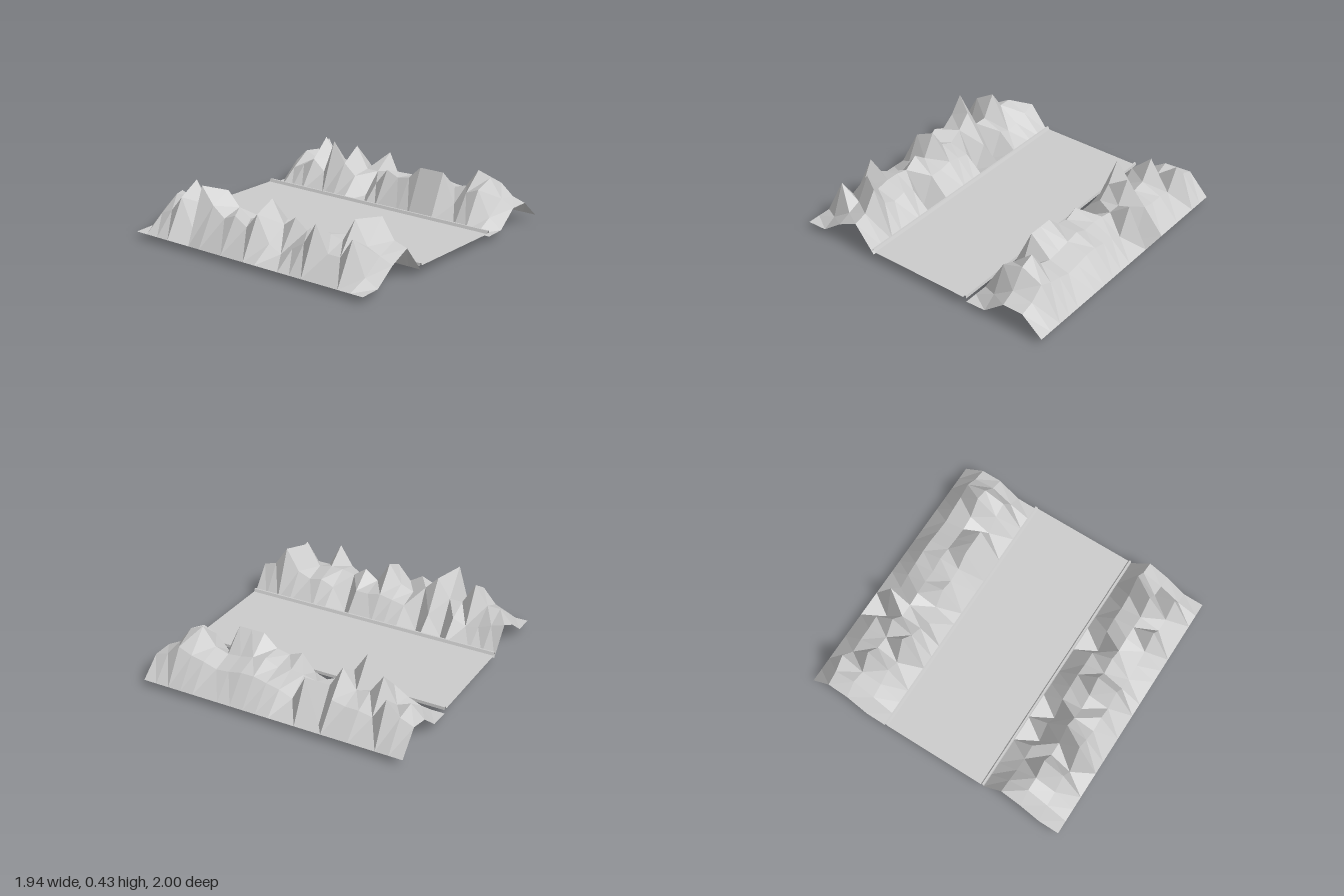
import * as THREE from 'three';

const HALF = 0.97, BASE = 0.045, COLS = 20, ROWS = 4, CELL = 0.15;

const rock = () => new THREE.MeshStandardMaterial({
  color: 0xcccccc, flatShading: true, side: THREE.DoubleSide,
});

// Peak heights (hundredths) along x for the three inner rows, from back to front
const FRONT = [
  [23, 20, 16, 14, 18, 0, 16, 0, 18, 20, 22, 20, 20, 0, 18, 22, 20, 24, 40, 26, 23],
  [16, 26, 26, 40, 24, 24, 38, 28, 22, 26, 40, 24, 31, 24, 26, 26, 24, 40, 24, 20, 16],
  [5, 16, 20, 31, 10, 43, 31, 24, 28, 22, 33, 15, 10, 16, 22, 37, 19, 19, 33, 10, 5],
];
const BACK = [
  [20, 24, 34, 18, 20, 20, 22, 0, 33, 14, 18, 20, 22, 22, 20, 19, 22, 24, 28, 20, 17],
  [17, 26, 22, 40, 26, 24, 38, 22, 22, 24, 25, 24, 28, 26, 24, 23, 26, 39, 35, 22, 17],
  [5, 16, 20, 26, 18, 43, 28, 20, 7, 18, 30, 26, 28, 37, 37, 37, 16, 26, 30, 12, 5],
];

// Faceted height field; each cell is split along its shorter diagonal
function ridge(name, rows, zStart) {
  const positions = [], index = [];
  const stride = COLS + 1;
  for (let j = 0; j <= ROWS; j++) {
    for (let i = 0; i <= COLS; i++) {
      const inner = j > 0 && j < ROWS;
      const y = inner ? rows[j - 1][i] / 100 : BASE;
      positions.push(-HALF + (2 * HALF * i) / COLS, y, zStart + j * CELL);
    }
  }
  const rise = (p, q) => Math.abs(positions[p * 3 + 1] - positions[q * 3 + 1]);
  for (let j = 0; j < ROWS; j++) {
    for (let i = 0; i < COLS; i++) {
      const a = j * stride + i, b = a + stride, c = b + 1, d = a + 1;
      if (rise(a, c) < rise(b, d)) index.push(a, b, c, a, c, d);
      else index.push(a, b, d, b, c, d);
    }
  }
  const geo = new THREE.BufferGeometry();
  geo.setAttribute('position', new THREE.Float32BufferAttribute(positions, 3));
  geo.setIndex(index);
  const flat = geo.toNonIndexed();
  flat.computeVertexNormals();
  const mesh = new THREE.Mesh(flat, rock());
  mesh.name = name;
  return mesh;
}

// Open strip running the full width, swept from a [z, y] profile
function strip(name, profile) {
  const geo = new THREE.PlaneGeometry(2 * HALF, 1, 1, profile.length - 1);
  const pos = geo.attributes.position;
  for (let k = 0; k < pos.count; k++) {
    const [z, y] = profile[Math.floor(k / 2)];
    pos.setY(k, y);
    pos.setZ(k, z);
  }
  const flat = geo.toNonIndexed();
  flat.computeVertexNormals();
  const mesh = new THREE.Mesh(flat, rock());
  mesh.name = name;
  return mesh;
}

export function createModel() {
  const group = new THREE.Group();
  group.name = 'mountainValley';

  // Mountain ridges on both sides
  group.add(ridge('frontRidge', FRONT, 0.4));
  group.add(ridge('backRidge', BACK, -1));

  // Flat valley floor
  group.add(strip('valleyFloor', [[-0.375, 0.07], [0.385, 0.07]]));

  // Raised kerbs along the floor's edges, as [distance from floor, height]
  const kerb = [[0, 0.07], [0.01, 0.09], [0.022, 0.09], [0.025, 0.07]];
  group.add(strip('frontKerb', kerb.map(([d, y]) => [0.385 + d, y])));
  group.add(strip('backKerb', kerb.map(([d, y]) => [-0.375 - d, y]).reverse()));

  return group;
}
